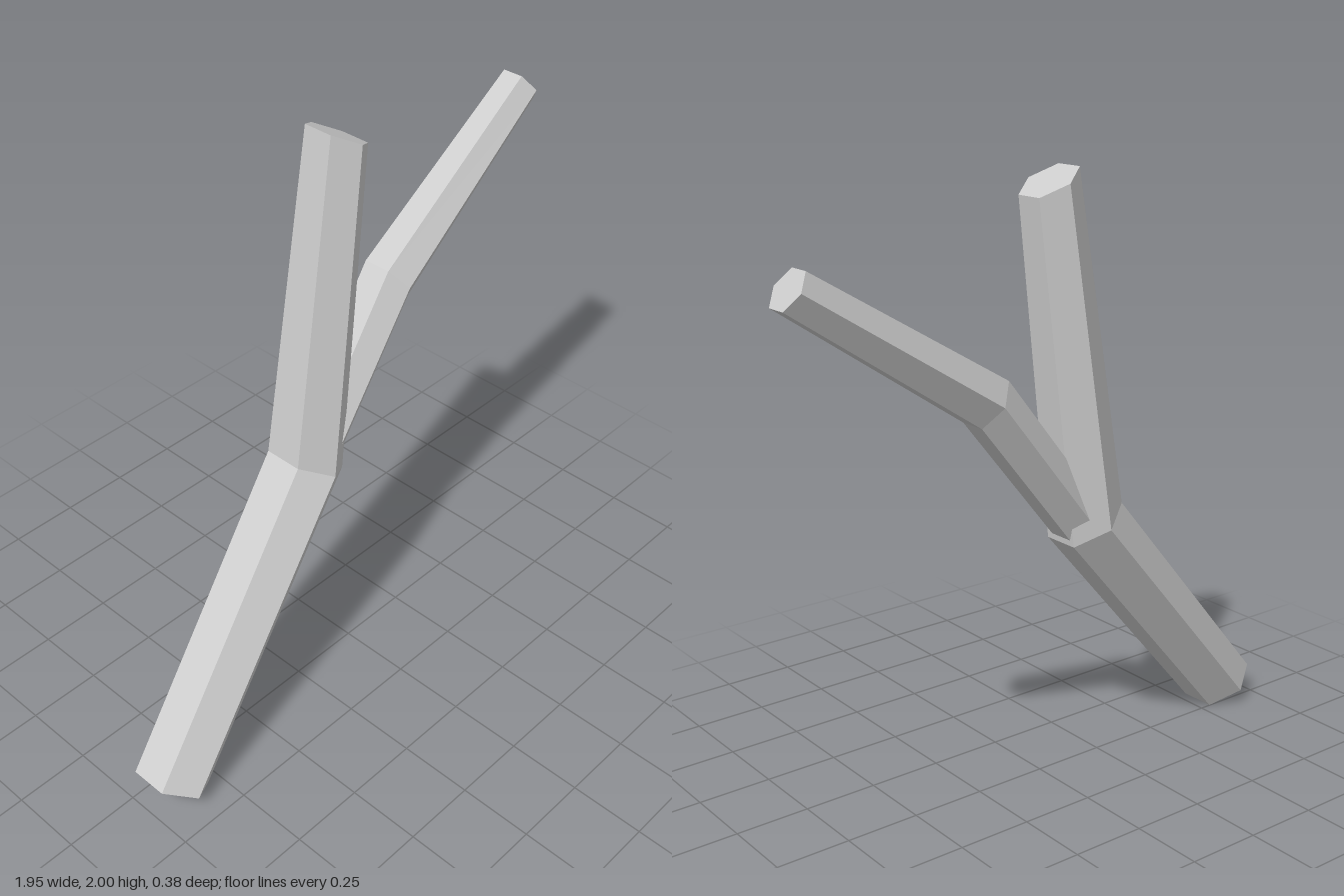
import * as THREE from 'three';

const SIDES = 6;

// Closed hexagonal limb through tilted rings: c = centre, r = radius, u = cross direction in the xy plane
function limb(name, rings, material) {
  const loops = rings.map(({ c, r, u }) => {
    const across = new THREE.Vector3(u[0], u[1], 0).normalize();
    return Array.from({ length: SIDES }, (_, k) => {
      const a = ((k + 0.5) / SIDES) * Math.PI * 2;
      return new THREE.Vector3(...c)
        .addScaledVector(across, r * Math.cos(a))
        .add(new THREE.Vector3(0, 0, -r * Math.sin(a)));
    });
  });

  const pos = [];
  const tri = (...pts) => pts.forEach((p) => pos.push(p.x, p.y, p.z));

  // Side faces
  for (let i = 0; i < loops.length - 1; i++) {
    const a = loops[i], b = loops[i + 1];
    for (let k = 0; k < SIDES; k++) {
      const n = (k + 1) % SIDES;
      tri(a[k], a[n], b[n]);
      tri(a[k], b[n], b[k]);
    }
  }
  // End caps
  const first = loops[0], last = loops[loops.length - 1];
  for (let k = 1; k < SIDES - 1; k++) {
    tri(first[0], first[k + 1], first[k]);
    tri(last[0], last[k], last[k + 1]);
  }

  const geometry = new THREE.BufferGeometry();
  geometry.setAttribute('position', new THREE.Float32BufferAttribute(pos, 3));
  geometry.computeVertexNormals();
  const mesh = new THREE.Mesh(geometry, material);
  mesh.name = name;
  return mesh;
}

export function createModel() {
  const group = new THREE.Group();
  group.name = 'forkedStick';
  const bark = new THREE.MeshStandardMaterial({ color: 0xcccccc, flatShading: true });

  // Thick stem, bent at the fork
  group.add(limb('mainStem', [
    { c: [-0.885, 0.055, 0.065], r: 0.126, u: [0.095, -0.055] },
    { c: [-0.15, 0.865, -0.045], r: 0.131, u: [0.1, -0.055] },
    { c: [0, 1.96, -0.045], r: 0.1, u: [0.075, -0.04] },
  ], bark));

  // Thinner side branch, rooted inside the stem
  group.add(limb('sideBranch', [
    { c: [-0.14, 0.842, -0.045], r: 0.09, u: [0.066, -0.055] },
    { c: [0.27, 1.335, -0.085], r: 0.095, u: [0.05, -0.065] },
    { c: [0.938, 1.755, -0.121], r: 0.072, u: [0.037, -0.05] },
  ], bark));

  return group;
}
